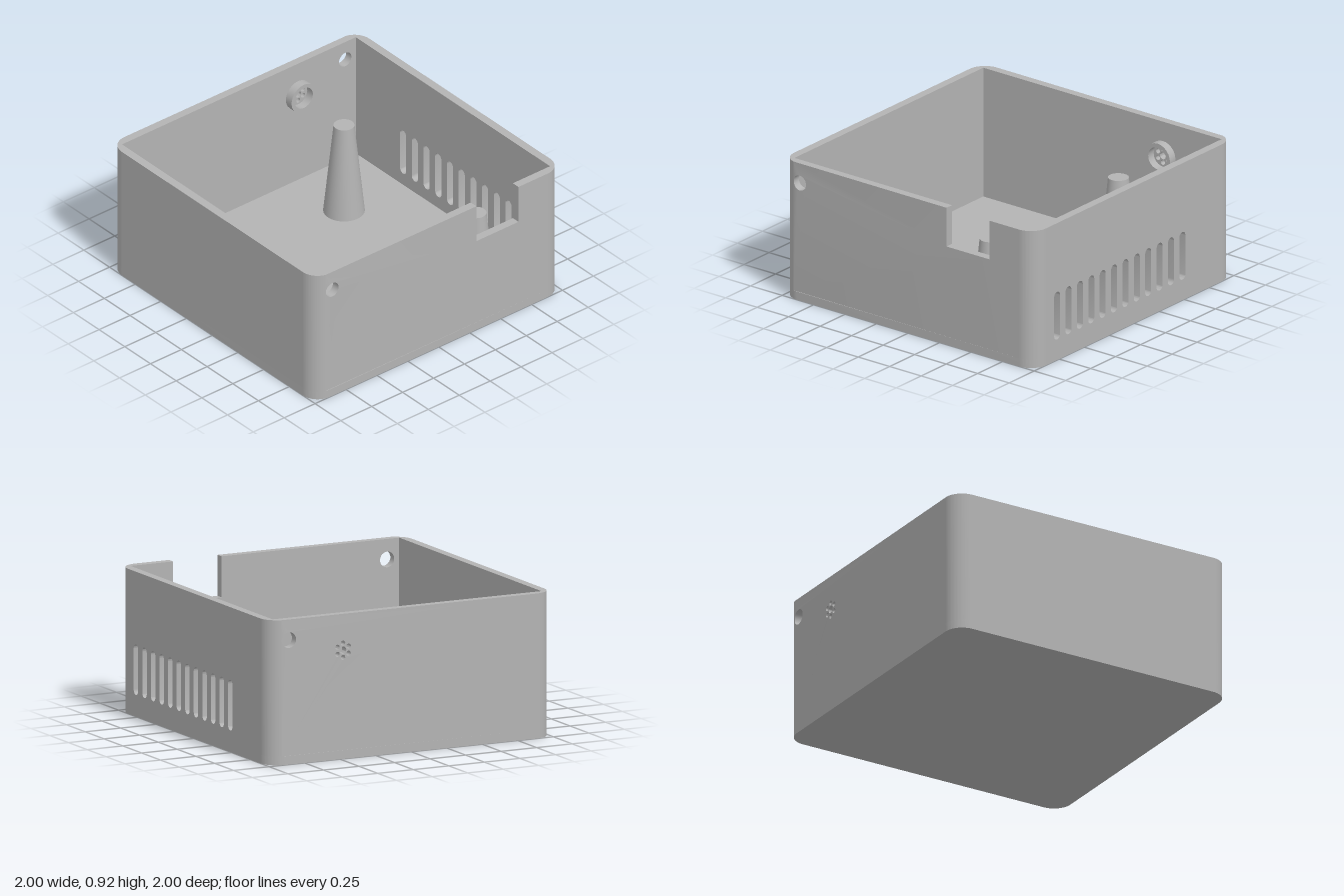
import * as THREE from 'three';
import { toCreasedNormals } from 'three/addons/utils/BufferGeometryUtils.js';

const H = 0.92, T = 0.055, IN = 0.945, R = 0.12, C = 1 - R;
const HOLE_T = 0.032; // how far the side walls reach into a corner beside the screw hole

export function createModel() {
  const root = new THREE.Group();
  root.name = 'enclosure';
  const grey = new THREE.MeshStandardMaterial({ color: 0xb3b3b3 });
  grey.name = 'grey plastic';

  const add = (name, geo, parent = root) => {
    const m = new THREE.Mesh(geo, grey);
    m.name = name;
    parent.add(m);
    return m;
  };
  const extrude = (shape, depth) =>
    new THREE.ExtrudeGeometry(shape, { depth, bevelEnabled: false, curveSegments: 12 });
  // Extrude a plan (x, z) between two heights
  const upright = (shape, y0, y1) =>
    toCreasedNormals(extrude(shape, y1 - y0).rotateX(Math.PI / 2).translate(0, y1, 0), 0.6);
  const circle = (u, v, r) => new THREE.Path().absarc(u, v, r, 0, Math.PI * 2, true);
  const slot = (u, v0, v1, r) => {
    const p = new THREE.Path();
    p.absarc(u, v1 - r, r, 0, Math.PI, false);
    p.absarc(u, v0 + r, r, Math.PI, Math.PI * 2, false);
    p.closePath();
    return p;
  };

  // Floor: rounded square
  const floor = new THREE.Shape();
  [[1, 1], [-1, 1], [-1, -1], [1, -1]].forEach(([sx, sy], i) =>
    floor.absarc(sx * C, sy * C, R, i * Math.PI / 2, (i + 1) * Math.PI / 2, false));
  floor.closePath();
  add('floor', upright(floor, 0, T));

  // Corner columns: round outside, square inside
  for (let i = 0; i < 4; i++) {
    const t = i % 2 === 0 ? HOLE_T : 0;
    const s = new THREE.Shape();
    s.moveTo(C, IN);
    s.lineTo(IN, IN);
    s.lineTo(IN, C + t);
    s.absarc(C, C, R, Math.asin(t / R), Math.PI / 2, false);
    s.closePath();
    // the plan winding is reversed by ExtrudeGeometry where needed
    add('corner', upright(s, T, H)).rotation.y = i * Math.PI / 2;
  }

  // Walls: plates in (u, y), turned to their side of the box
  const wall = (name, angle, u0, holes = [], notch = null) => {
    const g = new THREE.Group();
    g.name = name;
    g.rotation.y = angle;
    root.add(g);
    const s = new THREE.Shape();
    s.moveTo(u0, T);
    s.lineTo(C, T);
    s.lineTo(C, H);
    if (notch) {
      s.lineTo(notch.u1, H);
      s.lineTo(notch.u1, notch.y);
      s.lineTo(notch.u0, notch.y);
      s.lineTo(notch.u0, H);
    }
    s.lineTo(u0, H);
    s.closePath();
    s.holes.push(...holes);
    const geo = extrude(s, T).translate(0, 0, IN);
    // bend the outer face to follow the corner radius
    const p = geo.attributes.position;
    for (let i = 0; i < p.count; i++) {
      const over = -p.getX(i) - C;
      if (over > 0 && p.getZ(i) > 0.99) p.setZ(i, C + Math.sqrt(R * R - over * over));
    }
    add(name + 'Plate', toCreasedNormals(geo, 0.6), g);
    return g;
  };

  wall('frontWall', 0, -C);

  // Back wall with a row of vent slots
  const vents = [];
  for (let i = 0; i < 12; i++) vents.push(slot(-0.77 + i * 0.114, 0.138, 0.458, 0.03));
  wall('backWall', Math.PI, -C, vents);

  // Side walls with one screw hole each
  const screwHole = () => circle(-0.86, 0.79, 0.05);
  const sideStart = -C - HOLE_T;
  wall('leftWall', Math.PI / 2, sideStart, [screwHole()], { u0: 0.305, u1: 0.645, y: 0.66 });

  const grille = [circle(-0.48, 0.69, 0.023)];
  for (let i = 0; i < 6; i++) {
    const a = Math.PI / 2 + i * Math.PI / 3;
    grille.push(circle(-0.48 + 0.045 * Math.cos(a), 0.69 + 0.045 * Math.sin(a), 0.016));
  }
  const right = wall('rightWall', -Math.PI / 2, sideStart, [screwHole(), ...grille]);

  // Collar around the grille, inside the wall
  const ring = new THREE.Shape().absarc(-0.48, 0.69, 0.1, 0, Math.PI * 2, false);
  ring.holes.push(circle(-0.48, 0.69, 0.073));
  add('grilleCollar', toCreasedNormals(extrude(ring, T).translate(0, 0, IN - T), 0.6), right);

  // Tapered posts
  for (const x of [-0.5, 0.785]) {
    add('post', new THREE.CylinderGeometry(0.065, 0.13, 0.69 - T, 40))
      .position.set(x, (0.69 + T) / 2, -0.48);
  }
  return root;
}
